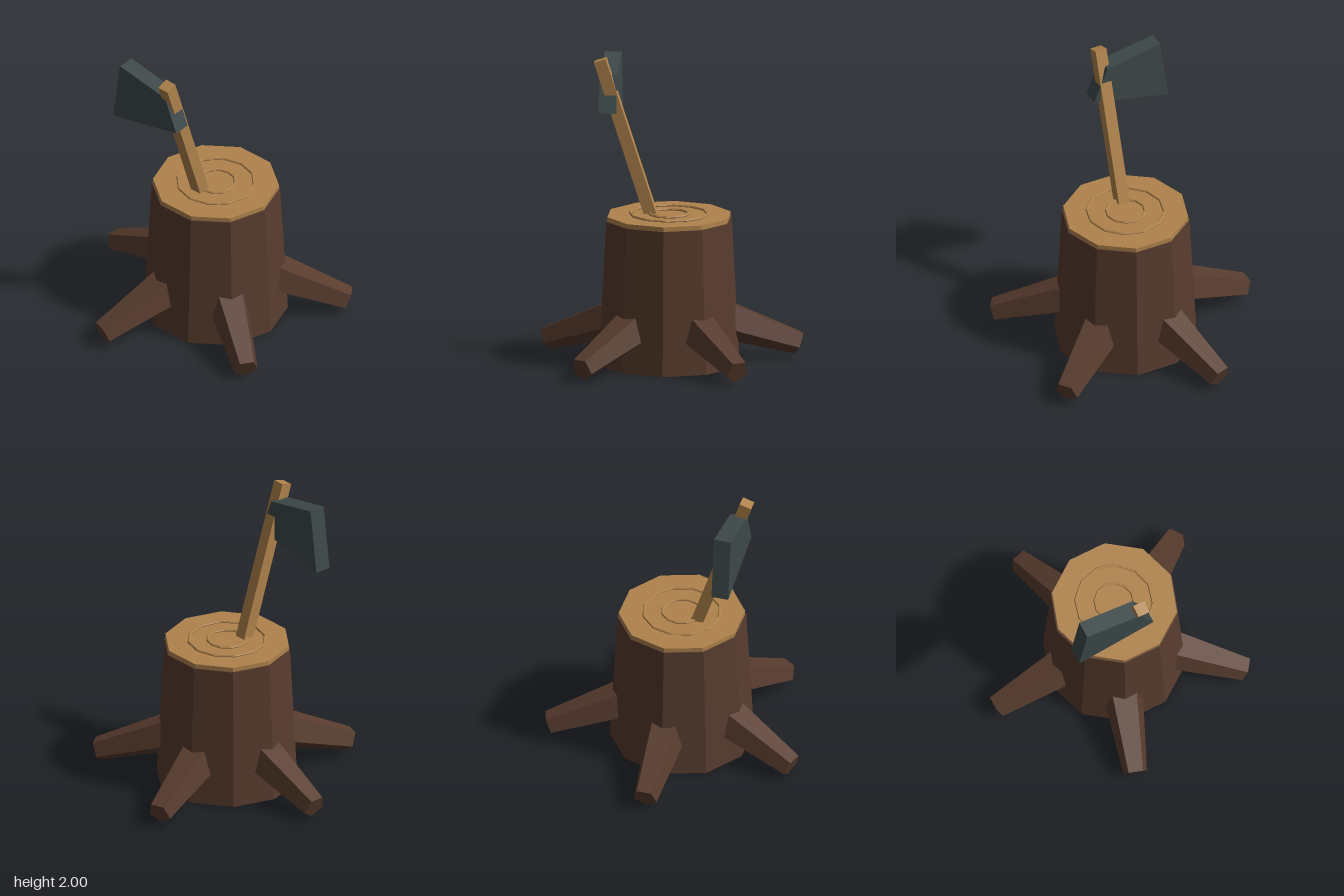
import * as THREE from 'three';

const material = (name, color) => {
  const m = new THREE.MeshStandardMaterial({ color });
  m.name = name;
  return m;
};

// Faceted mesh: split vertices so that every face has its own normal
function facetedMesh(name, geometry, mat) {
  const g = geometry.index ? geometry.toNonIndexed() : geometry;
  g.computeVertexNormals();
  const mesh = new THREE.Mesh(g, mat);
  mesh.name = name;
  return mesh;
}

export function createModel() {
  const bark = material('bark', 0x583c2e);
  const wood = material('cutWood', 0xb0834c);
  const steel = material('darkSteel', 0x3e4949);

  const model = new THREE.Group();
  model.name = 'stumpWithAxe';

  // Stump: trunk, cut face, growth rings and roots share one centre
  const stump = new THREE.Group();
  stump.name = 'stump';
  stump.position.x = 0.068;
  model.add(stump);

  const corner = Math.PI / 2;
  stump.add(facetedMesh('trunk',
    new THREE.CylinderGeometry(0.418, 0.468, 0.95, 10).rotateY(corner).translate(0, 0.475, 0), bark));
  stump.add(facetedMesh('cutFace',
    new THREE.CylinderGeometry(0.41, 0.41, 0.04, 10).rotateY(corner).translate(0, 0.96, 0), wood));

  for (const [name, radius] of [['innerRing', 0.127], ['outerRing', 0.252]]) {
    stump.add(facetedMesh(name,
      new THREE.TorusGeometry(radius, 0.01, 6, 12).rotateX(corner).translate(0, 0.985, 0), wood));
  }

  // Five tapered roots, flat side up, sloping down to the ground
  const tilt = THREE.MathUtils.degToRad(20);
  const rootLength = 0.6;
  const rootGeometry = new THREE.CylinderGeometry(0.081, 0.145, rootLength, 5)
    .rotateY(corner)
    .rotateZ(-corner)
    .translate(-rootLength / 2, 0, 0)
    .rotateZ(-tilt)
    .translate(0.861, 0.092, 0);
  for (let i = 0; i < 5; i++) {
    const root = facetedMesh('root' + (i + 1), rootGeometry, bark);
    root.rotation.y = THREE.MathUtils.degToRad(36 + 72 * i);
    stump.add(root);
  }

  // Axe: leaning handle with its foot sunk in the cut face
  const axe = new THREE.Group();
  axe.name = 'axe';
  model.add(axe);

  const handleLength = 1.1;
  const handle = facetedMesh('axeHandle',
    new THREE.BoxGeometry(0.08, handleLength, 0.08).translate(0, -handleLength / 2, 0), wood);
  handle.position.set(0.035, 1.988, 0.45);
  handle.rotation.x = THREE.MathUtils.degToRad(18);
  axe.add(handle);

  // Upright four-cornered blade
  const outline = new THREE.Shape([
    [-0.42, 1.535], [0.12, 1.65], [0.025, 1.887], [-0.362, 1.96],
  ].map(([x, y]) => new THREE.Vector2(x, y)));
  axe.add(facetedMesh('axeHead',
    new THREE.ExtrudeGeometry(outline, { depth: 0.113, bevelEnabled: false }).translate(0, 0, 0.342), steel));

  return model;
}
